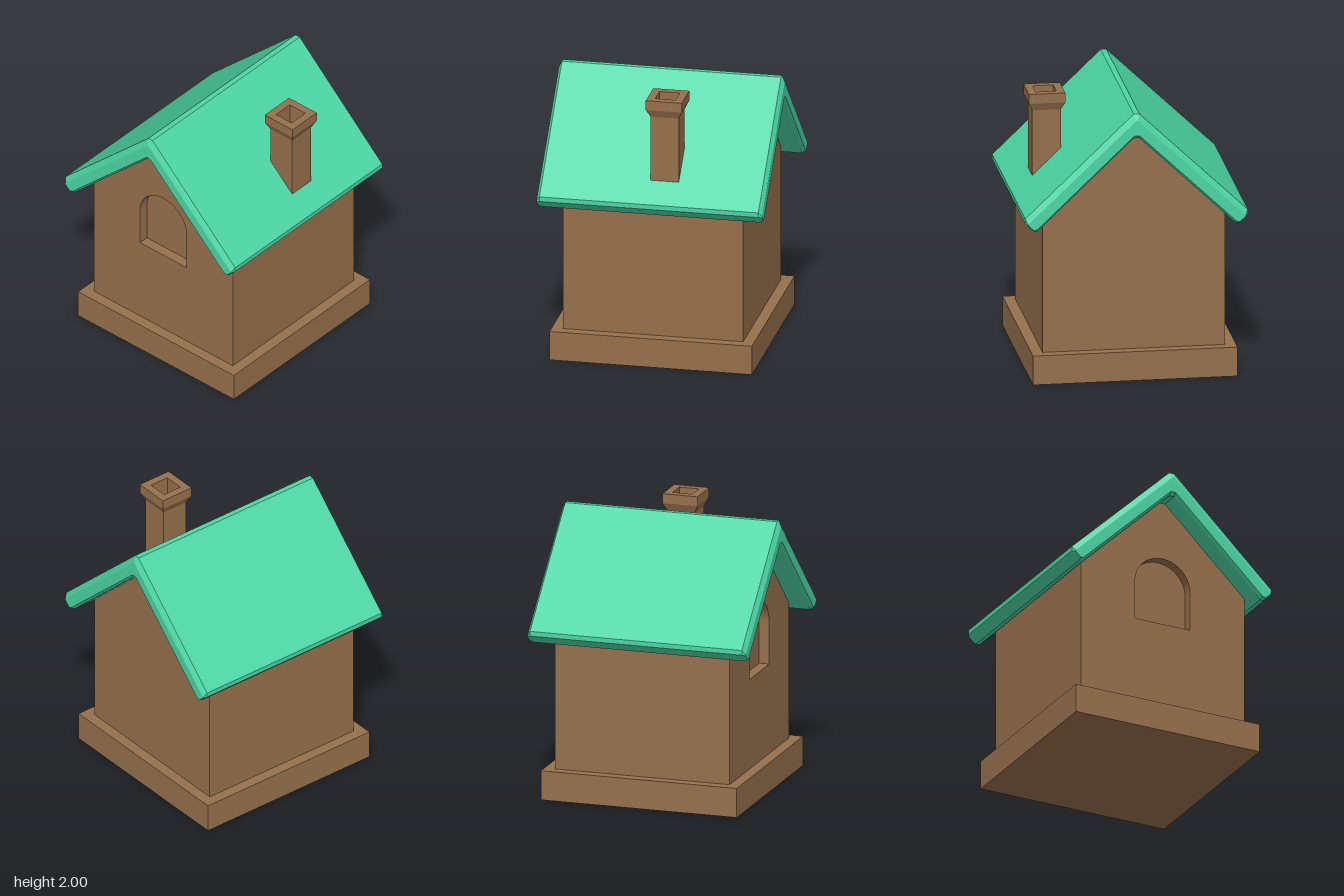
import * as THREE from 'three';

const brown = new THREE.MeshStandardMaterial({ color: 0x96704c, flatShading: true });
const green = new THREE.MeshStandardMaterial({ color: 0x4cd6a6, flatShading: true });

function part(name, geometry, material) {
  const mesh = new THREE.Mesh(geometry, material);
  mesh.name = name;
  return mesh;
}

// Gabled wall outline; its top edge is buried in the roof
function gableShape() {
  const half = 0.655;
  return new THREE.Shape([
    [-half, 0.1], [half, 0.1], [half, 1.25], [0.02, 1.86], [-0.02, 1.86], [-half, 1.25],
  ].map(([x, y]) => new THREE.Vector2(x, y)));
}

function extrude(shape, zBack, zFront) {
  const g = new THREE.ExtrudeGeometry(shape, {
    depth: zFront - zBack, bevelEnabled: false, curveSegments: 24,
  });
  return g.translate(0, 0, zBack);
}

// Roof: a chevron section, mirrored about x = 0, with chamfered gable ends
function roofGeometry() {
  const outer = [[0.02, 2], [0.8, 1.255], [0.8, 1.22], [0.74, 1.16], [0.71, 1.16], [0.02, 1.82]];
  const inset = [[0.004, 1.957], [0.782, 1.22], [0.782, 1.212], [0.742, 1.174], [0.717, 1.178], [0.018, 1.845]];
  const rings = [[inset, -0.82], [outer, -0.795], [outer, 0.795], [inset, 0.82]];
  const positions = [];
  const index = [];
  for (const [half, z] of rings) {
    const loop = [...half, ...half.slice().reverse().map(([x, y]) => [-x, y])];
    for (const [x, y] of loop) positions.push(x, y, z);
  }
  const n = 12;
  for (let k = 0; k < 3; k++) {
    for (let i = 0; i < n; i++) {
      const j = (i + 1) % n;
      const a = k * n + i, b = k * n + j, c = b + n, d = a + n;
      index.push(a, d, c, a, c, b);
    }
  }
  // Gable end faces: one convex fan per slope, plus the ridge strip
  for (const fan of [[0, 1, 2, 3, 4, 5], [11, 6, 7, 8, 9, 10], [0, 5, 6, 11]]) {
    for (let i = 1; i < fan.length - 1; i++) {
      const [a, b, c] = [fan[0], fan[i], fan[i + 1]];
      const f = 3 * n;
      index.push(a, b, c, f + a, f + c, f + b);
    }
  }
  const g = new THREE.BufferGeometry();
  g.setAttribute('position', new THREE.Float32BufferAttribute(positions, 3));
  g.setIndex(index);
  const flat = g.toNonIndexed();
  flat.computeVertexNormals();
  return flat;
}

// Chimney: hollow square tube with a flared cap, as a four-sided lathe
function chimneyGeometry() {
  const profile = [
    [0.103, 1.3], [0.103, 1.872], [0.131, 1.93], [0.131, 2], [0.074, 2], [0.074, 1.3],
  ].map(([half, y]) => new THREE.Vector2(half * Math.SQRT2, y));
  const g = new THREE.LatheGeometry(profile, 4).rotateY(Math.PI / 4).toNonIndexed();
  g.computeVertexNormals();
  return g;
}

export function createModel() {
  const house = new THREE.Group();
  house.name = 'house';

  // Plinth
  const base = part('base', new THREE.BoxGeometry(1.47, 0.215, 1.47), brown);
  base.position.y = 0.1075;
  house.add(base);

  // Walls: a solid body and a front layer with the arched recess cut out
  const recessZ = 0.58;
  house.add(part('walls', extrude(gableShape(), -0.655, recessZ), brown));

  const front = gableShape();
  const arch = new THREE.Path();
  arch.moveTo(-0.22, 0.875);
  arch.lineTo(-0.22, 1.167);
  arch.absarc(0, 1.167, 0.22, Math.PI, 0, true);
  arch.lineTo(0.22, 0.875);
  arch.closePath();
  front.holes.push(arch);
  house.add(part('frontWallWithArchedRecess', extrude(front, recessZ, 0.655), brown));

  // Roof and chimney
  house.add(part('roof', roofGeometry(), green));
  const chimney = part('chimney', chimneyGeometry(), brown);
  chimney.position.set(0.556, 0, -0.085);
  house.add(chimney);

  return house;
}
